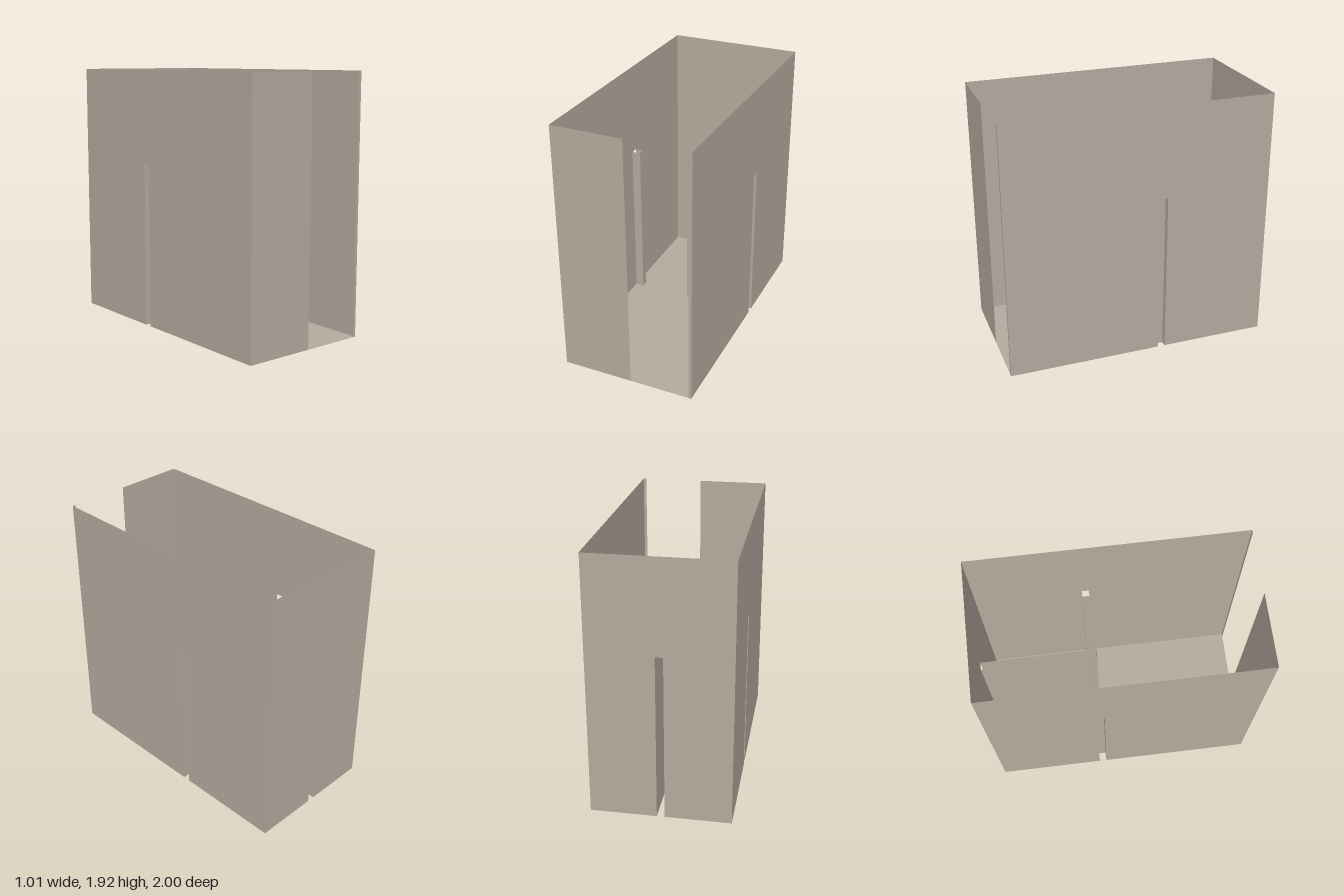
import * as THREE from 'three';

const W = 0.505, H = 1.92, D = 1;         // half width, height, half depth
const SLOT_H = 1.23;                      // height of all slots
const Z0 = -0.203, Z1 = -0.147;           // side slots, back and front edge
const BX0 = -0.03, BX1 = 0.026;           // back slot
const TX0 = -0.038, TX1 = 0.062;          // wide end of the back slot
const LX = -0.44, RX = 0.46;              // depth of the side pockets

export function createModel() {
  const group = new THREE.Group();
  group.name = 'slottedOpenBox';
  const material = new THREE.MeshStandardMaterial({ color: 0xb4aa9e, side: THREE.DoubleSide });
  material.name = 'warmGrey';

  // Thin flat panel from an outline
  function panel(name, points) {
    const shape = new THREE.Shape(points.map(([x, y]) => new THREE.Vector2(x, y)));
    const mesh = new THREE.Mesh(new THREE.ShapeGeometry(shape), material);
    mesh.name = name;
    group.add(mesh);
    return mesh;
  }

  // Full-height wall outline with a slot rising from the lower edge
  const slotted = (a, b, s0, s1) => [
    [a, 0], [s0, 0], [s0, SLOT_H], [s1, SLOT_H], [s1, 0], [b, 0], [b, H], [a, H],
  ];

  // Upright sheets that follow a floor path of [x, z] points
  function channel(name, path) {
    const part = new THREE.Group();
    part.name = name;
    for (let i = 0; i < path.length - 1; i++) {
      const [xa, za] = path[i], [xb, zb] = path[i + 1];
      const geometry = new THREE.PlaneGeometry(Math.hypot(xb - xa, zb - za), SLOT_H);
      geometry.rotateY(-Math.atan2(zb - za, xb - xa));
      geometry.translate((xa + xb) / 2, SLOT_H / 2, (za + zb) / 2);
      const mesh = new THREE.Mesh(geometry, material);
      mesh.name = name + 'Wall';
      part.add(mesh);
    }
    group.add(part);
  }

  // Slot paths, from one outer edge to the other
  const backPath = [[BX1, -D], [BX1, Z0], [TX1, Z0], [TX1, Z1], [TX0, Z1], [TX0, Z0], [BX0, Z0], [BX0, -D]];
  const leftPath = [[W, Z1], [RX, Z1], [RX, Z0], [W, Z0]];
  const rightPath = [[-W, Z0], [LX, Z0], [LX, Z1], [-W, Z1]];
  channel('backChannel', backPath);
  channel('leftPocket', leftPath);
  channel('rightPocket', rightPath);

  // Floor, cut out along every slot
  const outline = [[-W, D], [W, D], ...leftPath, [W, -D], ...backPath, [-W, -D], ...rightPath];
  panel('floor', outline.map(([x, z]) => [x, -z])).rotation.x = -Math.PI / 2;

  // Side walls
  for (const side of [-1, 1]) {
    const points = slotted(-D, D, Z0, Z1).map(([z, y]) => [-side * z, y]);
    const wall = panel(side > 0 ? 'leftWall' : 'rightWall', points);
    wall.rotation.y = side * Math.PI / 2;
    wall.position.x = side * W;
  }

  // Back wall
  panel('backWall', slotted(-W, W, BX0, BX1)).position.z = -D;

  // Front wall, in two parts beside the doorway
  panel('frontWall', [[-W, 0], [0.027, 0], [0.027, H], [-W, H]]).position.z = D;
  panel('doorJamb', [[0.483, 0], [W, 0], [W, H], [0.483, H]]).position.z = D;

  return group;
}
